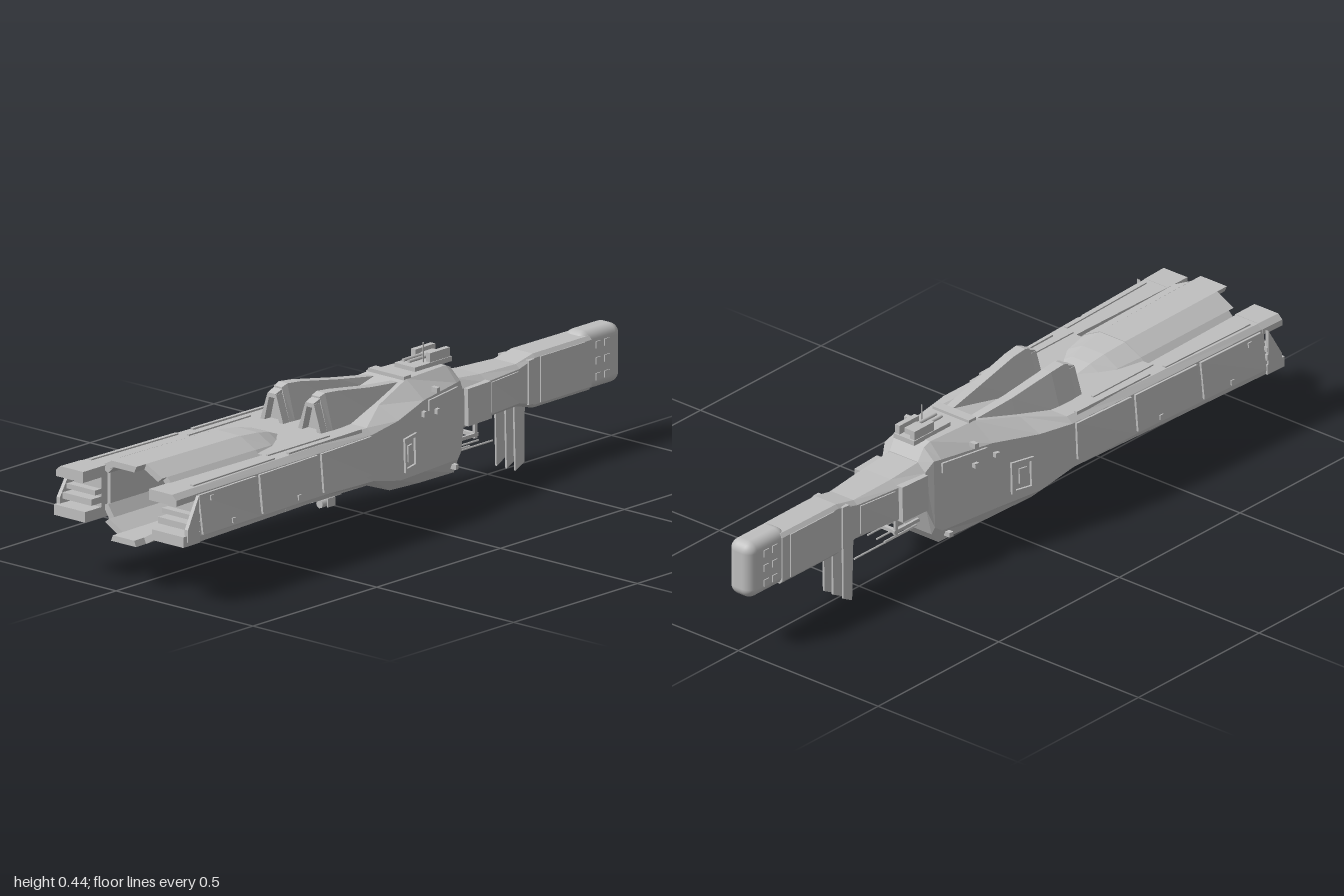
import * as THREE from 'three';
import { RoundedBoxGeometry } from 'three/addons/geometries/RoundedBoxGeometry.js';

// Hull stations: z, then half width and height of top edge, shoulder, lower side, keel
const HULL = [
  [-0.315, 0.05, 0.325, 0.076, 0.30, 0.08, 0.19, 0.06, 0.172],
  [-0.292, 0.052, 0.362, 0.088, 0.33, 0.092, 0.13, 0.08, 0.105],
  [-0.27, 0.055, 0.372, 0.095, 0.33, 0.10, 0.115, 0.085, 0.075],
  [-0.1, 0.065, 0.372, 0.13, 0.325, 0.135, 0.125, 0.11, 0.087],
  [0.05, 0.10, 0.338, 0.172, 0.308, 0.178, 0.14, 0.14, 0.105],
  [0.17, 0.165, 0.313, 0.185, 0.297, 0.191, 0.168, 0.165, 0.15],
  [0.4, 0.18, 0.313, 0.197, 0.297, 0.208, 0.18, 0.203, 0.168],
  [0.55, 0.186, 0.313, 0.203, 0.298, 0.215, 0.182, 0.211, 0.168],
  [1, 0.205, 0.313, 0.218, 0.30, 0.236, 0.185, 0.233, 0.168],
];
const NECK = [
  [-0.87, 0.036, 0.32, 0.046, 0.31, 0.046, 0.178, 0.036, 0.167],
  [-0.64, 0.038, 0.32, 0.048, 0.31, 0.048, 0.178, 0.038, 0.167],
  [-0.57, 0.04, 0.306, 0.054, 0.295, 0.054, 0.198, 0.042, 0.187],
  [-0.42, 0.045, 0.312, 0.072, 0.295, 0.074, 0.2, 0.055, 0.187],
  [-0.31, 0.05, 0.324, 0.078, 0.3, 0.08, 0.195, 0.06, 0.178],
];
// Engine rim outline, counter-clockwise from +z
const half = [[0.046, 0.128], [0.104, 0.161], [0.13, 0.2], [0.13, 0.302], [0.106, 0.325], [0.047, 0.355]];
const RIM = [...half, ...half.map(([x, y]) => [-x, y]).reverse()];

const station = (table, z) => {
  let i = 0;
  while (i < table.length - 2 && table[i + 1][0] < z) i++;
  const a = table[i], b = table[i + 1], t = (z - a[0]) / (b[0] - a[0]);
  return a.map((v, k) => v + (b[k] - v) * t);
};
const wallX = (table, z, y) => {
  const s = station(table, z);
  return s[5] + (s[3] - s[5]) * THREE.MathUtils.clamp((y - s[6]) / (s[4] - s[6]), 0, 1);
};
const rect = (x0, x1, y0, y1, z) => [[x0, y0, z], [x1, y0, z], [x1, y1, z], [x0, y1, z]];

// Skin over counter-clockwise cross-sections in order of rising z
function loft(sections) {
  const p = [], n = sections[0].length;
  const tri = (a, b, c) => p.push(...a, ...b, ...c);
  for (let s = 0; s < sections.length - 1; s++) {
    const a = sections[s], b = sections[s + 1];
    for (let i = 0; i < n; i++) {
      const j = (i + 1) % n;
      tri(a[i], a[j], b[j]);
      tri(a[i], b[j], b[i]);
    }
  }
  const a = sections[0], b = sections[sections.length - 1];
  for (let i = 1; i < n - 1; i++) {
    tri(a[0], a[i + 1], a[i]);
    tri(b[0], b[i], b[i + 1]);
  }
  const g = new THREE.BufferGeometry();
  g.setAttribute('position', new THREE.Float32BufferAttribute(p, 3));
  g.computeVertexNormals();
  return g;
}
const flip = (sections) => sections.map((s) => s.map(([x, y, z]) => [-x, y, z]).reverse());
const ring = ([z, a, ay, b, by, c, cy, d, dy]) =>
  [[d, dy, z], [c, cy, z], [b, by, z], [a, ay, z], [-a, ay, z], [-b, by, z], [-c, cy, z], [-d, dy, z]];

export function createModel() {
  const root = new THREE.Group();
  const grey = new THREE.MeshStandardMaterial({ color: 0xbfbfbf });
  grey.name = 'hull grey';
  const add = (name, geo, x = 0, y = 0, z = 0) => {
    const m = new THREE.Mesh(geo, grey);
    m.name = name;
    m.position.set(x, y, z);
    root.add(m);
    return m;
  };
  const box = (name, w, h, d, x, y, z) => add(name, new THREE.BoxGeometry(w, h, d), x, y, z);
  const rod = (name, r, len, x, y, z, sides = 8) =>
    add(name, new THREE.CylinderGeometry(r, r, len, sides).rotateX(Math.PI / 2), x, y, z);
  const pair = (name, sections) => {
    add(name + 'Left', loft(sections));
    add(name + 'Right', loft(flip(sections)));
  };
  // Raised plate that follows the side wall
  const panel = (name, table, z0, z1, y0, y1, t = 0.006) => pair(name, [z0, z1].map((z) => {
    const lo = wallX(table, z, y0), hi = wallX(table, z, y1);
    return [[lo - 0.01, y0, z], [lo + t, y0, z], [hi + t, y1, z], [hi - 0.01, y1, z]];
  }));

  // Main hull, neck and nose
  add('hull', loft(HULL.slice(0, 8).map(ring)));
  add('neck', loft(NECK.map(ring)));
  add('nose', new RoundedBoxGeometry(0.084, 0.168, 0.16, 4, 0.03), 0, 0.247, -0.92);
  for (const s of [-1, 1]) for (const y of [0.2, 0.245, 0.29]) for (const z of [-0.9, -0.935])
    box('nosePort', 0.006, 0.02, 0.02, s * 0.042, y, z);

  // Side armour
  for (const [a, b] of [[0.18, 0.395], [0.41, 0.655], [0.67, 0.91]]) panel('sidePanel', HULL, a, b, 0.188, 0.296, 0.007);
  panel('shoulderPanel', HULL, -0.27, -0.12, 0.29, 0.32, 0.006);
  panel('neckPlate', NECK, -0.42, -0.32, 0.195, 0.3, 0.014);
  panel('neckPanel', NECK, -0.56, -0.435, 0.205, 0.29, 0.004);
  panel('forePanel', NECK, -0.84, -0.66, 0.18, 0.31, 0.003);
  panel('foreBand', NECK, -0.63, -0.605, 0.185, 0.31, 0.005);

  // Side hatch frame and rivets
  for (const [a, b, c, d] of [[-0.045, -0.035, 0.155, 0.25], [0.015, 0.025, 0.155, 0.25],
    [-0.035, 0.015, 0.155, 0.165], [-0.035, 0.015, 0.24, 0.25]]) panel('hatchFrame', HULL, a, b, c, d, 0.007);
  panel('hatch', HULL, -0.02, 0.005, 0.18, 0.225, 0.005);
  for (const [z, y] of [[-0.09, 0.29], [-0.16, 0.28], [-0.16, 0.34], [-0.25, 0.1], [0.5, 0.2], [0.78, 0.2], [0.86, 0.28]])
    panel('rivet', HULL, z - 0.007, z + 0.007, y - 0.007, y + 0.007, 0.011);

  // Rear booms with stepped ends
  pair('boom', [0.5, 0.925].map((z) => {
    const [, a, ay, b, by, c, cy, d, dy] = station(HULL, z);
    const i = z < 0.6 ? 0.13 : 0.122;
    return [[i, dy, z], [d, dy, z], [c, cy, z], [b, by, z], [a, ay, z], [i, ay, z]];
  }));
  pair('boomTopLip', [[0.92, 0.202, 0.217], [1, 0.205, 0.22]].map(([z, a, b]) =>
    [[0.12, 0.283, z], [b, 0.283, z], [b, 0.3, z], [a, 0.314, z], [0.12, 0.314, z]]));
  for (const [y0, y1, end] of [[0.168, 0.198, 0.99], [0.21, 0.228, 0.965], [0.236, 0.25, 0.95]])
    pair('boomEndStep', [rect(0.122, 0.235, y0, y1, 0.92), rect(0.122, 0.238 - (y1 - 0.19) * 0.15, y0, y1, end)]);
  pair('boomGuard', [rect(0.225, 0.235, 0.18, 0.3, 0.925), rect(0.228, 0.24, 0.18, 0.215, 0.975)]);

  // Engine: tapered shroud, hollow petals, inner wall
  const rimAt = (z, sx, sy) => RIM.map(([x, y]) => [x * sx, 0.24 + (y - 0.24) * sy, z]);
  add('engineShroud', loft([rimAt(0.37, 0.5, 0.62), rimAt(0.42, 0.68, 0.78), rimAt(0.47, 0.83, 0.88), rimAt(0.56, 0.97, 0.96), rimAt(0.6, 0.97, 0.96)]));
  const ends = [0.93, 0.91, 0.9, 0.91, 0.93, 0.97];
  for (let i = 0; i < RIM.length; i++) {
    const j = (i + 1) % RIM.length, end = ends[i % 6];
    add('enginePetal', loft([[0.55, 0.965], [end, 1]].map(([z, k]) => {
      const at = ([x, y], s) => [x * s, 0.24 + (y - 0.24) * s, z];
      return [at(RIM[i], k), at(RIM[j], k), at(RIM[j], k * 0.85), at(RIM[i], k * 0.85)];
    })));
  }

  // Dorsal intakes: tapering humps with a framed rear mouth
  const hump = (z, x, wb, wt, yb, yt) => [[x - wb, yb, z], [x + wb, yb, z], [x + wt, yt, z], [x - wt, yt, z]];
  pair('intakeHump', [hump(-0.08, 0.043, 0.024, 0.012, 0.33, 0.366), hump(0.05, 0.057, 0.034, 0.014, 0.31, 0.383),
    hump(0.2, 0.068, 0.047, 0.015, 0.3, 0.408), hump(0.25, 0.069, 0.048, 0.016, 0.3, 0.413), hump(0.27, 0.069, 0.046, 0.014, 0.3, 0.406)]);
  for (const s of [-1, 1]) {
    pair('intakeFrame', [0.26, 0.295].map((z) => [[0.069 + s * 0.038 - 0.008, 0.3, z], [0.069 + s * 0.038 + 0.008, 0.3, z],
      [0.069 + s * 0.012 + 0.004, 0.39, z], [0.069 + s * 0.012 - 0.004, 0.39, z]]));
  }
  pair('intakeBrow', [rect(0.053, 0.085, 0.38, 0.405, 0.26), rect(0.055, 0.083, 0.38, 0.392, 0.295)]);

  // Deck rails and the ridge plate ahead of the intakes
  pair('deckRail', [rect(0.165, 0.175, 0.308, 0.318, 0.2), rect(0.17, 0.18, 0.308, 0.318, 0.5)]);
  pair('deckStrip', [rect(0.14, 0.148, 0.308, 0.317, 0.3), rect(0.14, 0.148, 0.308, 0.317, 0.55)]);
  pair('boomRail', [rect(0.17, 0.182, 0.308, 0.317, 0.56), rect(0.18, 0.192, 0.308, 0.317, 0.9)]);
  box('ridgePlate', 0.13, 0.012, 0.03, 0, 0.374, -0.105);

  // Dorsal turret and mast
  box('turretBase', 0.075, 0.014, 0.15, 0, 0.377, -0.24);
  for (const s of [-1, 1]) {
    box('turretHousing', 0.016, 0.032, 0.08, s * 0.027, 0.394, -0.27);
    rod('turretBarrel', 0.005, 0.08, s * 0.01, 0.395, -0.21);
  }
  box('turretCore', 0.03, 0.02, 0.05, 0, 0.39, -0.27);
  box('mast', 0.003, 0.07, 0.003, 0.018, 0.405, -0.22);

  // Ventral fins
  for (const x of [-0.037, 0, 0.032]) {
    const fin = new THREE.Shape([[0.57, 0.19], [0.612, 0.19], [0.61, 0.02], [0.575, 0.002]].map(([a, b]) => new THREE.Vector2(a, b)));
    add('ventralFin', new THREE.ExtrudeGeometry(fin, { depth: 0.006, bevelEnabled: false }).rotateY(Math.PI / 2), x - 0.003, 0, 0);
  }

  // Ventral guns on a shared mount
  box('gunMount', 0.15, 0.03, 0.08, 0, 0.135, 0.16);
  for (const x of [-0.065, -0.01, 0.06]) {
    box('gunArm', 0.025, 0.03, 0.06, x, 0.122, 0.2);
    rod('gunBody', 0.012, 0.09, x, 0.115, 0.235);
    rod('gunDrum', 0.012, 0.03, x, 0.093, 0.23);
    rod('gunBarrel', 0.005, 0.09, x, 0.122, 0.29);
    box('gunFin', 0.004, 0.025, 0.03, x + 0.02, 0.098, 0.22);
  }

  // Forward antenna rack under the neck
  for (const s of [-1, 1]) {
    box('rackRail', 0.008, 0.01, 0.13, s * 0.045, 0.145, -0.345);
    box('rackStrut', 0.008, 0.06, 0.01, s * 0.045, 0.165, -0.4);
    rod('antenna', 0.003, 0.14, s * 0.03, 0.12, -0.36, 6);
    rod('antenna', 0.003, 0.12, s * 0.015, 0.105, -0.35, 6);
  }
  box('rackBar', 0.09, 0.01, 0.012, 0, 0.145, -0.4);
  rod('longAntenna', 0.003, 0.25, 0, 0.093, -0.395, 6);
  return root;
}
